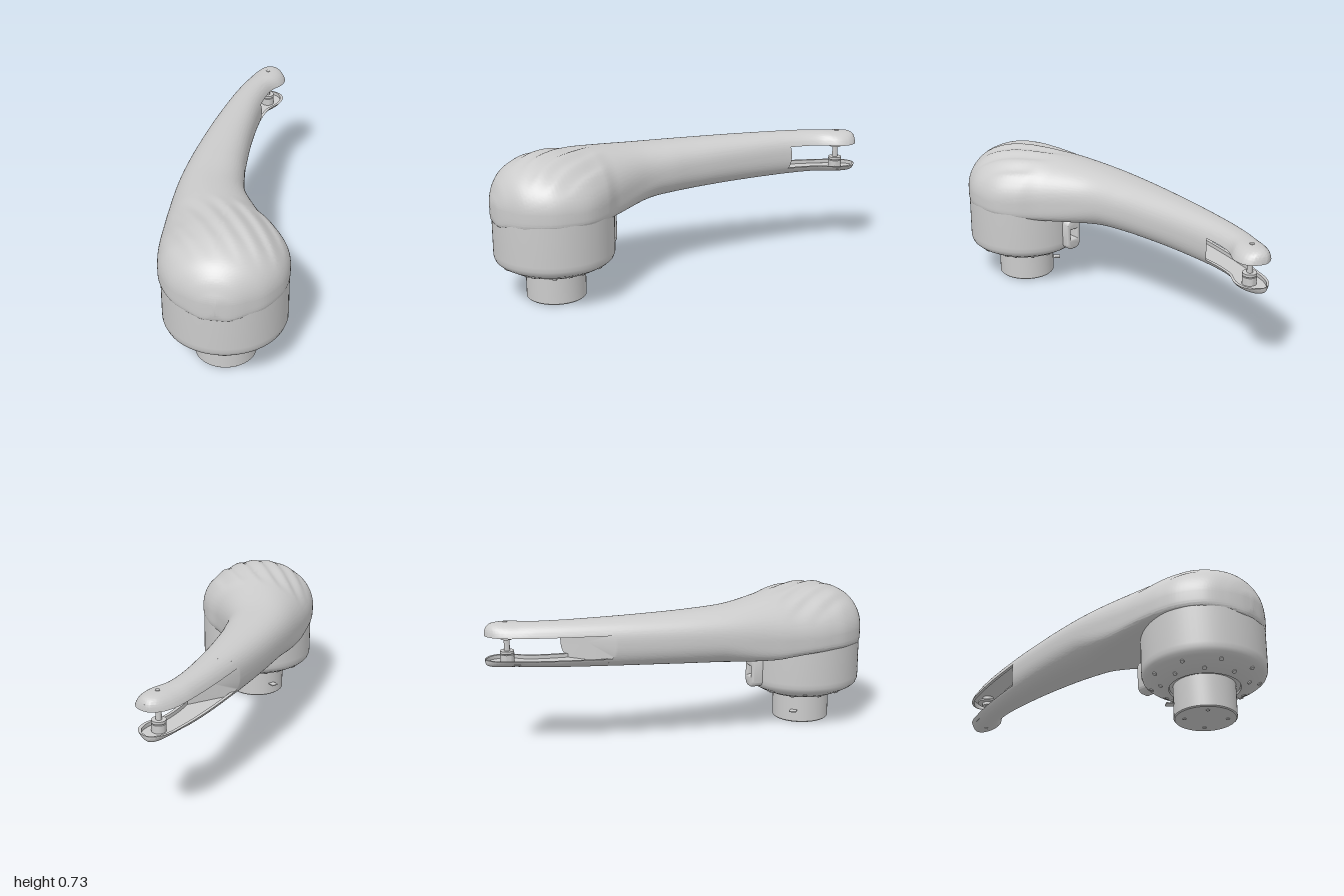
import * as THREE from 'three';
import { toCreasedNormals } from 'three/addons/utils/BufferGeometryUtils.js';

const CX = 0.012, CZ = 0.695;            // axis of the round base
const SLOT_LOW = 0.48, SLOT_HIGH = 0.597; // faces of the two jaws
const { lerp, smoothstep } = THREE.MathUtils;

// Stations along the arm: z, left x, right x, top y, bottom y, widest y
const STATIONS = [
  [1.0, 0.0, 0.024, 0.52, 0.45, 0.5],
  [0.99, -0.06, 0.085, 0.555, 0.415, 0.5],
  [0.96, -0.13, 0.15, 0.62, 0.415, 0.5],
  [0.9, -0.212, 0.231, 0.677, 0.415, 0.5],
  [0.8, -0.275, 0.292, 0.719, 0.415, 0.5],
  [0.7, -0.3, 0.31, 0.731, 0.415, 0.5],
  [0.6, -0.31, 0.297, 0.727, 0.412, 0.5],
  [0.5, -0.312, 0.24, 0.717, 0.405, 0.505],
  [0.4, -0.312, 0.154, 0.703, 0.397, 0.51],
  [0.2, -0.305, 0.042, 0.681, 0.4, 0.525],
  [0.0, -0.285, 0.006, 0.673, 0.41, 0.54],
  [-0.2, -0.256, -0.004, 0.669, 0.42, 0.545],
  [-0.4, -0.22, -0.003, 0.666, 0.428, 0.55],
  [-0.63, -0.17, 0.012, 0.663, 0.436, 0.55],
  [-0.78, -0.13, 0.045, 0.661, 0.441, 0.55],
  [-0.86, -0.106, 0.099, 0.66, 0.442, 0.55],
  [-0.92, -0.083, 0.112, 0.659, 0.442, 0.55],
  [-0.965, -0.052, 0.094, 0.654, 0.443, 0.55],
  [-0.99, -0.018, 0.06, 0.638, 0.45, 0.55],
  [-1.0, 0.01, 0.03, 0.618, 0.462, 0.55],
];
// The slot starts further back on the right side than on the left
const U_RIGHT = 12.1 / (STATIONS.length - 1), U_LEFT = 13 / (STATIONS.length - 1);
const COLUMNS = [1, 2, 3, 4, 5].map(k =>
  new THREE.SplineCurve(STATIONS.map(s => new THREE.Vector2(s[0], s[k]))));

function station(u) {
  const p = COLUMNS.map(c => c.getPoint(u));
  const [xl, xr, top, bottom, mid] = p.map(v => v.y);
  const z = p[0].x, head = smoothstep(z, 0.1, 0.55);
  return {
    z, cx: (xl + xr) / 2, w: Math.max((xr - xl) / 2, 0.004), top, bottom, mid,
    topPower: lerp(2.4, 2, head), lowPower: lerp(2.4, 6, head),
  };
}

const bend = (v, power) => Math.sign(v) * Math.pow(Math.abs(v), 2 / power);

function sectionPoint(s, angle) {
  const sin = Math.sin(angle);
  const [h, power] = sin > 0 ? [s.top - s.mid, s.topPower] : [s.mid - s.bottom, s.lowPower];
  return [s.cx + s.w * bend(Math.cos(angle), power), s.mid + h * bend(sin, power), s.z];
}

// Skin closed rings that run from +z to -z, and close both ends
function loft(rings) {
  const n = rings[0].length, pos = rings.flat(2), index = [];
  for (let i = 0; i < rings.length - 1; i++) {
    for (let j = 0; j < n; j++) {
      const a = i * n + j, b = i * n + (j + 1) % n;
      index.push(a, a + n, b, b, a + n, b + n);
    }
  }
  for (const i of [0, rings.length - 1]) {
    const centre = pos.length / 3;
    for (let k = 0; k < 3; k++) pos.push(rings[i].reduce((t, p) => t + p[k], 0) / n);
    for (let j = 0; j < n; j++) {
      const a = i * n + j, b = i * n + (j + 1) % n;
      index.push(centre, i ? b : a, i ? a : b);
    }
  }
  const g = new THREE.BufferGeometry();
  g.setAttribute('position', new THREE.Float32BufferAttribute(pos, 3));
  g.setIndex(index);
  return toCreasedNormals(g, 0.7);
}

// Diagonal swirl folds pressed into the top of the dome
function fold([x, y, z]) {
  const mask = smoothstep(y, 0.56, 0.68) * smoothstep(z, 0.42, 0.58) * (1 - smoothstep(z, 0.74, 0.92));
  const phase = (x * 0.84 - (z - 0.7) * 0.54) / 0.085;
  const f = phase - Math.floor(phase);
  const wave = f < 0.62 ? smoothstep(f, 0, 0.62) : 1 - smoothstep(f, 0.62, 1);
  return [x, y - 0.01 * mask * wave, z];
}

function armGeometry() {
  const rings = [], N = 160, M = 190;
  for (let i = 0; i <= M; i++) {
    rings.push(Array.from({ length: N }, (_, j) => {
      const angle = j / N * Math.PI * 2;
      const end = lerp(U_RIGHT, U_LEFT, (1 + bend(Math.cos(angle), 2.4)) / 2);
      return fold(sectionPoint(station(end * i / M), angle));
    }));
  }
  return loft(rings);
}

// One jaw: the outer skin beyond the slot, with a shallow tray facing the gap
function jawGeometry(upper) {
  const rings = [], N = 32, M = 50;
  const cut = upper ? SLOT_HIGH : SLOT_LOW;
  for (let i = 0; i <= M; i++) {
    const s = station(lerp(U_RIGHT, 1, i / M));
    const h = upper ? s.top - s.mid : s.mid - s.bottom;
    const power = upper ? s.topPower : s.lowPower;
    const a0 = Math.asin(Math.min(0.98, Math.pow(Math.abs(cut - s.mid) / h, power / 2)));
    const start = upper ? a0 : Math.PI + a0;
    const ring = [];
    for (let j = 0; j <= N; j++) ring.push(sectionPoint(s, start + (Math.PI - 2 * a0) * j / N));
    const first = ring[0], last = ring[N];
    const inset = Math.sign(first[0] - last[0]) * Math.min(0.016, s.w * 0.35);
    const depth = (upper ? 0.03 : -0.018) * (i < M - 5 ? 1 : 0);
    ring.push([last[0] + inset, cut, s.z], [last[0] + inset, cut + depth, s.z],
      [first[0] - inset, cut + depth, s.z], [first[0] - inset, cut, s.z]);
    rings.push(ring);
  }
  return loft(rings);
}

function lathe(points, segments) {
  const g = new THREE.LatheGeometry(points.map(p => new THREE.Vector2(...p)), segments);
  return toCreasedNormals(g, 0.6);
}

export function createModel() {
  const model = new THREE.Group();
  const grey = new THREE.MeshStandardMaterial({ color: 0xcccccc, side: THREE.DoubleSide });
  const add = (name, geometry, x = 0, y = 0, z = 0) => {
    const mesh = new THREE.Mesh(geometry, grey);
    mesh.name = name;
    mesh.position.set(x, y, z);
    model.add(mesh);
    return mesh;
  };

  // Arm with domed head, and the forked end
  add('armShell', armGeometry());
  add('upperJaw', jawGeometry(true));
  add('lowerJaw', jawGeometry(false));

  // Round housing and mounting post
  add('housing', lathe([[0, 0.165], [0.165, 0.165], [0.168, 0.155], [0.19, 0.155], [0.235, 0.175],
    [0.275, 0.198], [0.288, 0.21], [0.295, 0.228], [0.296, 0.25], [0.296, 0.48], [0, 0.48]], 72), CX, 0, CZ);
  add('mountingPost', lathe([[0, 0.003], [0.142, 0.003], [0.147, 0.008], [0.147, 0.17]], 48), CX, 0, CZ - 0.003);

  // Small screws in two staggered rings under the housing, and under the post
  const tilt = Math.atan2(0.023, 0.04);
  [[0.256, 0.186, 0.185], [0.208, 0.162, 0.75]].forEach(([r, y, offset]) => {
    for (let i = 0; i < 9; i++) {
      const a = (i + offset) / 9 * Math.PI * 2;
      const screw = add('housingScrew', new THREE.CylinderGeometry(0.01, 0.01, 0.008, 12),
        CX + r * Math.sin(a), y, CZ + r * Math.cos(a));
      screw.rotation.set(-tilt, a, 0, 'YXZ');
    }
  });
  for (let i = 0; i < 4; i++) {
    const a = (i + 0.5) * Math.PI / 2;
    add('postScrew', new THREE.CylinderGeometry(0.009, 0.009, 0.004, 12),
      CX + 0.1 * Math.sin(a), 0.002, CZ + 0.1 * Math.cos(a));
  }

  // Thin tab on the side of the post
  const tab = add('postTab', new THREE.BoxGeometry(0.035, 0.005, 0.06), CX - 0.118, 0.07, CZ - 0.102);
  tab.rotation.y = Math.atan2(0.8, 0.6);

  // Socket block behind the housing
  const w = 0.045, h = 0.085, r = 0.035;
  const outline = new THREE.Shape();
  outline.absarc(w - r, h - r, r, 0, Math.PI / 2);
  outline.absarc(r - w, h - r, r, Math.PI / 2, Math.PI);
  outline.absarc(r - w, r - h, r, Math.PI, Math.PI * 1.5);
  outline.absarc(w - r, r - h, r, Math.PI * 1.5, Math.PI * 2);
  const hole = new THREE.Path();
  hole.moveTo(-0.02, -0.025).lineTo(-0.02, 0.025).lineTo(0.02, 0.025).lineTo(0.02, -0.025).closePath();
  outline.holes.push(hole);
  add('socketBlock', toCreasedNormals(new THREE.ExtrudeGeometry(outline, {
    depth: 0.08, bevelSize: 0.012, bevelOffset: -0.012, bevelThickness: 0.012, bevelSegments: 4,
  }), 0.6), -0.045, 0.297, 0.37);

  // Spindle between the jaws
  add('spindle', lathe([[0, 0.46], [0.034, 0.46], [0.034, 0.5], [0.024, 0.5], [0.024, 0.505],
    [0.034, 0.505], [0.034, 0.518], [0.014, 0.518], [0.014, 0.575], [0.03, 0.575], [0.03, 0.592],
    [0.056, 0.592], [0.056, 0.602], [0.03, 0.602], [0.03, 0.63], [0, 0.63]], 24), 0.012, 0, -0.895);
  for (const y of [0.66, 0.442])
    add('tipScrew', new THREE.CylinderGeometry(0.011, 0.011, 0.006, 12), 0.012, y, -0.9);

  return model;
}
